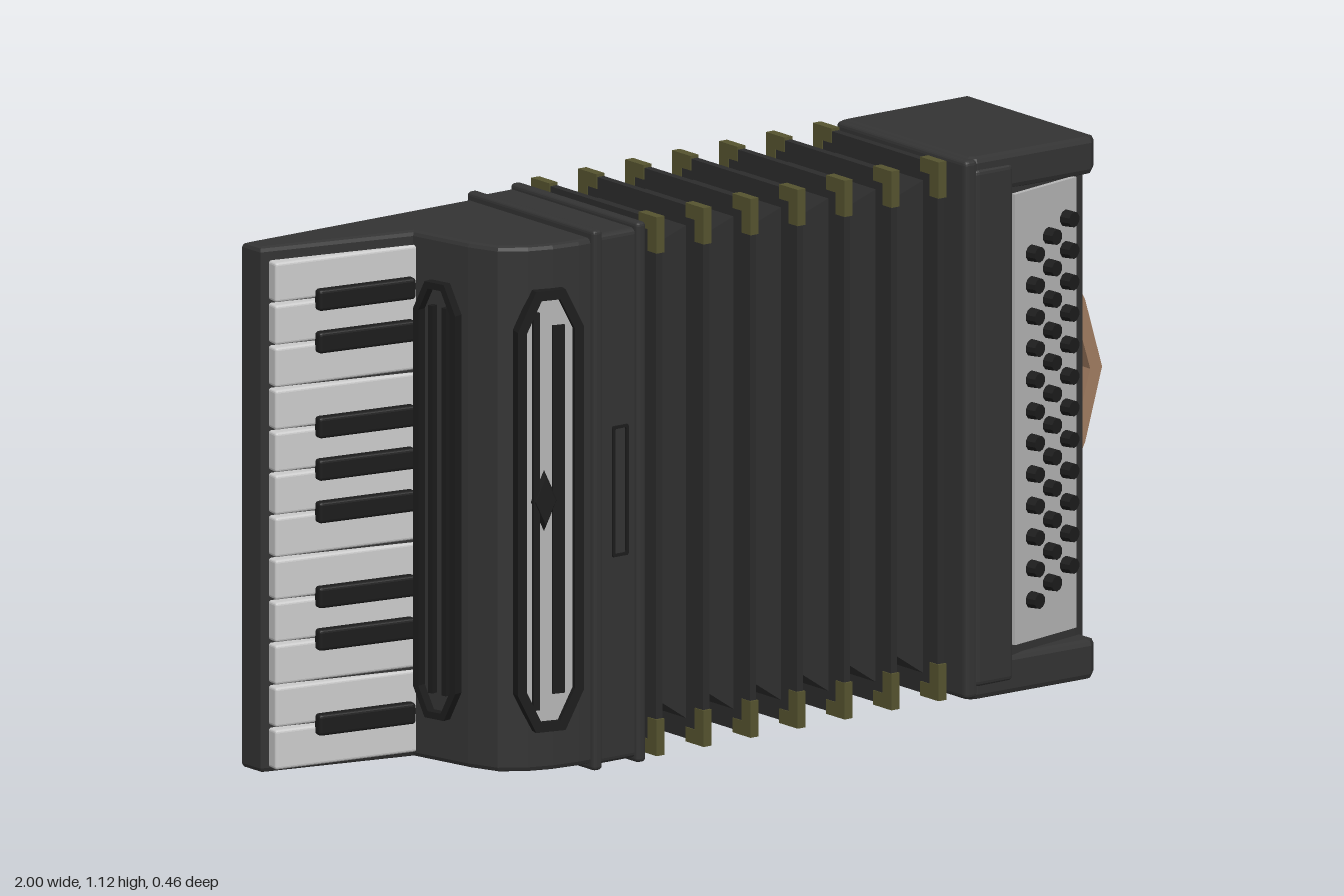
import * as THREE from 'three';
import { RoundedBoxGeometry } from 'three/addons/geometries/RoundedBoxGeometry.js';

const mat = (color, extra = {}) => new THREE.MeshStandardMaterial({ color, flatShading: true, ...extra });
const black = mat(0x333333), dark = mat(0x1c1c1c), cloth = mat(0x2c2c2c);
const ivory = mat(0xcccccc), silver = mat(0xb4b4b4), brass = mat(0x55532f), leather = mat(0xa07c60);

function add(parent, name, geometry, material, x = 0, y = 0, z = 0) {
  const m = new THREE.Mesh(geometry, material);
  m.name = name;
  m.position.set(x, y, z);
  parent.add(m);
  return m;
}

// box given by its limits, optionally with rounded edges
function block(parent, name, material, [x0, x1], [y0, y1], [z0, z1], r = 0) {
  const s = [x1 - x0, y1 - y0, z1 - z0];
  const g = r ? new RoundedBoxGeometry(...s, 2, r) : new THREE.BoxGeometry(...s);
  return add(parent, name, g, material, (x0 + x1) / 2, (y0 + y1) / 2, (z0 + z1) / 2);
}

// [x, z] outline extruded upwards from y0 to y1 with bevelled ends
function prism(parent, name, material, outline, y0, y1, b = 0) {
  const shape = new THREE.Shape(outline.map(([x, z]) => new THREE.Vector2(x, -z)));
  const g = new THREE.ExtrudeGeometry(shape, {
    depth: y1 - y0 - 2 * b, bevelEnabled: b > 0, bevelSize: b, bevelThickness: b, bevelOffset: -b, bevelSegments: 2,
  });
  g.rotateX(-Math.PI / 2);
  return add(parent, name, g, material, 0, y0 + b, 0);
}

// upright octagon with cut corners, in the xy plane
function octagon(w, h, c, Type = THREE.Shape) {
  const a = w / 2, b = h / 2;
  return new Type([[a, b - c], [a - c / 2, b], [-a + c / 2, b], [-a, b - c],
    [-a, c - b], [c / 2 - a, -b], [a - c / 2, -b], [a, c - b]].map((p) => new THREE.Vector2(...p)));
}

function frame(w, h, c, t, depth) {
  const s = octagon(w, h, c);
  s.holes.push(octagon(w - 2 * t, h - 2 * t, c * 0.8, THREE.Path));
  return new THREE.ExtrudeGeometry(s, { depth, bevelEnabled: false });
}

function buildTreble() {
  const g = new THREE.Group();
  g.name = 'trebleSide';
  prism(g, 'trebleBody', black, [[-1, -0.2], [-0.3, -0.2], [-0.3, 0.205], [-0.46, 0.205], [-0.52, 0.197],
    [-0.57, 0.18], [-0.62, 0.145], [-0.645, 0.08], [-0.675, -0.06], [-1, -0.14]], 0.02, 1.105, 0.01);
  block(g, 'trebleBand', black, [-0.43, -0.29], [0.016, 1.11], [-0.203, 0.208], 0.012);
  for (const x of [-0.42, -0.31]) block(g, 'bandRidge', black, [x - 0.012, x + 0.012], [0.007, 1.122], [-0.2, 0.216], 0.008);
  add(g, 'bandSlot', frame(0.04, 0.27, 0.004, 0.006, 0.008), dark, -0.36, 0.575, 0.204);

  // keyboard, sloping down to the player's edge
  const keys = new THREE.Group();
  keys.name = 'keyboard';
  keys.position.set(-0.68, 0.028, -0.062);
  keys.rotation.y = -0.17;
  g.add(keys);
  const n = 12, pitch = 1.052 / n;
  for (let i = 0; i < n; i++)
    block(keys, 'whiteKey', ivory, [-0.31, 0.02], [i * pitch + 0.003, (i + 1) * pitch - 0.003], [-0.03, 0.008], 0.006);
  for (const i of [1, 3, 4, 6, 7, 8, 10, 11])
    block(keys, 'blackKey', dark, [-0.22, 0], [i * pitch - 0.022, i * pitch + 0.022], [0, 0.026], 0.007);

  // side grille above the keys
  const side = new THREE.Group();
  side.name = 'sideGrille';
  side.position.set(-0.664, 0.565, 0.015);
  side.rotation.y = -1.36;
  g.add(side);
  add(side, 'sideGrilleFrame', frame(0.11, 0.9, 0.06, 0.014, 0.02), dark);
  for (const x of [-0.015, 0.02]) block(side, 'sideGrilleBar', dark, [x - 0.006, x + 0.006], [-0.4, 0.4], [0, 0.014]);

  // front grille
  const grille = new THREE.Group();
  grille.name = 'frontGrille';
  grille.position.set(-0.53, 0.56, 0.186);
  grille.rotation.y = -0.25;
  g.add(grille);
  add(grille, 'grilleFrame', frame(0.144, 0.91, 0.08, 0.02, 0.026), dark);
  add(grille, 'grillePanel', new THREE.ExtrudeGeometry(octagon(0.12, 0.87, 0.06), { depth: 0.014, bevelEnabled: false }), silver);
  block(grille, 'grilleBar', dark, [-0.036, -0.022], [-0.41, 0.41], [0.008, 0.022]);
  block(grille, 'grilleBar', dark, [0.008, 0.034], [-0.38, 0.38], [0.008, 0.018]);
  const boss = add(grille, 'grilleBoss', new THREE.CylinderGeometry(0.022, 0.03, 0.012, 4), dark, -0.01, 0.02, 0.018);
  boss.rotation.x = Math.PI / 2;
  boss.scale.z = 2.2;
  return g;
}

function buildBellows() {
  const g = new THREE.Group();
  g.name = 'bellows';
  const cy = 0.565, cz = -0.005, pitch = 0.12, count = 7, x0 = -0.25;

  // pleats: rectangular rings alternating between ridge and valley
  const pos = [], idx = [], rings = 2 * count + 1;
  for (let i = 0; i < rings; i++) {
    const x = x0 + (i - 1) * pitch / 2, d = i % 2 ? 0 : 0.05;
    for (const [sy, sz] of [[1, 1], [1, -1], [-1, -1], [-1, 1]])
      pos.push(x, cy + sy * (0.515 - d), cz + sz * (0.15 - d));
    for (let k = 0; k < 4 && i; k++) {
      const a = (i - 1) * 4 + k, b = (i - 1) * 4 + (k + 1) % 4;
      idx.push(a, a + 4, b, b, a + 4, b + 4);
    }
  }
  const geo = new THREE.BufferGeometry();
  geo.setAttribute('position', new THREE.Float32BufferAttribute(pos, 3));
  geo.setIndex(idx);
  const pleats = geo.toNonIndexed();
  pleats.computeVertexNormals();
  add(g, 'pleats', pleats, mat(0x2c2c2c, { side: THREE.DoubleSide }));

  // a plate on every ridge, with metal corner guards
  for (let i = 0; i < count; i++) {
    const fold = new THREE.Group();
    fold.name = 'fold';
    fold.position.set(x0 + i * pitch, cy, cz - 0.0015 * i);
    g.add(fold);
    block(fold, 'foldPlate', cloth, [-0.008, 0.008], [-0.55, 0.55], [-0.2, 0.2]);
    for (const sy of [-1, 1]) for (const sz of [-1, 1]) {
      add(fold, 'cornerGuard', new THREE.BoxGeometry(0.02, 0.075, 0.03), brass, 0, sy * 0.5185, sz * 0.19);
      add(fold, 'cornerGuard', new THREE.BoxGeometry(0.02, 0.03, 0.06), brass, 0, sy * 0.541, sz * 0.175);
    }
  }
  return g;
}

function buildBass() {
  const g = new THREE.Group();
  g.name = 'bassSide';
  // body with a sloping front between two full-depth cheeks
  prism(g, 'bassBody', black, [[0.52, -0.208], [0.845, -0.208], [0.845, 0.165], [0.82, 0.172], [0.63, 0.212], [0.52, 0.212]], 0.04, 1.09);
  const cheek = [[0.52, -0.208], [0.845, -0.208], [0.845, 0.2], [0.825, 0.22], [0.54, 0.215], [0.52, 0.205]];
  prism(g, 'bassCheek', black, cheek, 0.003, 0.085, 0.012);
  prism(g, 'bassCheek', black, cheek, 1.045, 1.123, 0.012);
  block(g, 'bassFrontPanel', black, [0.53, 0.63], [0.03, 1.1], [0.1, 0.22], 0.012);
  block(g, 'bassRim', black, [0.508, 0.54], [0.008, 1.12], [-0.208, 0.218], 0.01);

  // button board
  const board = new THREE.Group();
  board.name = 'buttonBoard';
  board.position.set(0.725, 0.57, 0.195);
  board.rotation.y = 0.207;
  g.add(board);
  block(board, 'buttonPlate', silver, [-0.1, 0.09], [-0.465, 0.465], [-0.01, 0.008]);
  const knob = new THREE.CylinderGeometry(0.016, 0.018, 0.03, 10).rotateX(Math.PI / 2);
  for (let c = 0; c < 3; c++) for (let r = 0; r < 12; r++)
    add(board, 'bassButton', knob, dark, -0.05 + c * 0.053, -0.38 + r * 0.065 + c * 0.026, 0.016);

  // hand strap and its brackets
  for (const y of [0.05, 0.9]) block(g, 'strapBracket', dark, [0.83, 0.868], [y, y + 0.18], [-0.072, 0.042], 0.01);
  const outer = [[0.85, 0.915], [0.865, 0.89], [0.955, 0.73], [0.998, 0.585], [0.955, 0.435], [0.865, 0.27], [0.85, 0.235]];
  const inner = outer.map(([x, y]) => [x - 0.03, 0.575 + (y - 0.575) * 0.96]).reverse();
  const shape = new THREE.Shape([...outer, ...inner].map((p) => new THREE.Vector2(...p)));
  add(g, 'handStrap', new THREE.ExtrudeGeometry(shape, { depth: 0.095, bevelEnabled: false }), leather, 0, 0, -0.064);
  return g;
}

export function createModel() {
  const model = new THREE.Group();
  model.name = 'accordion';
  model.add(buildTreble(), buildBellows(), buildBass());
  return model;
}
